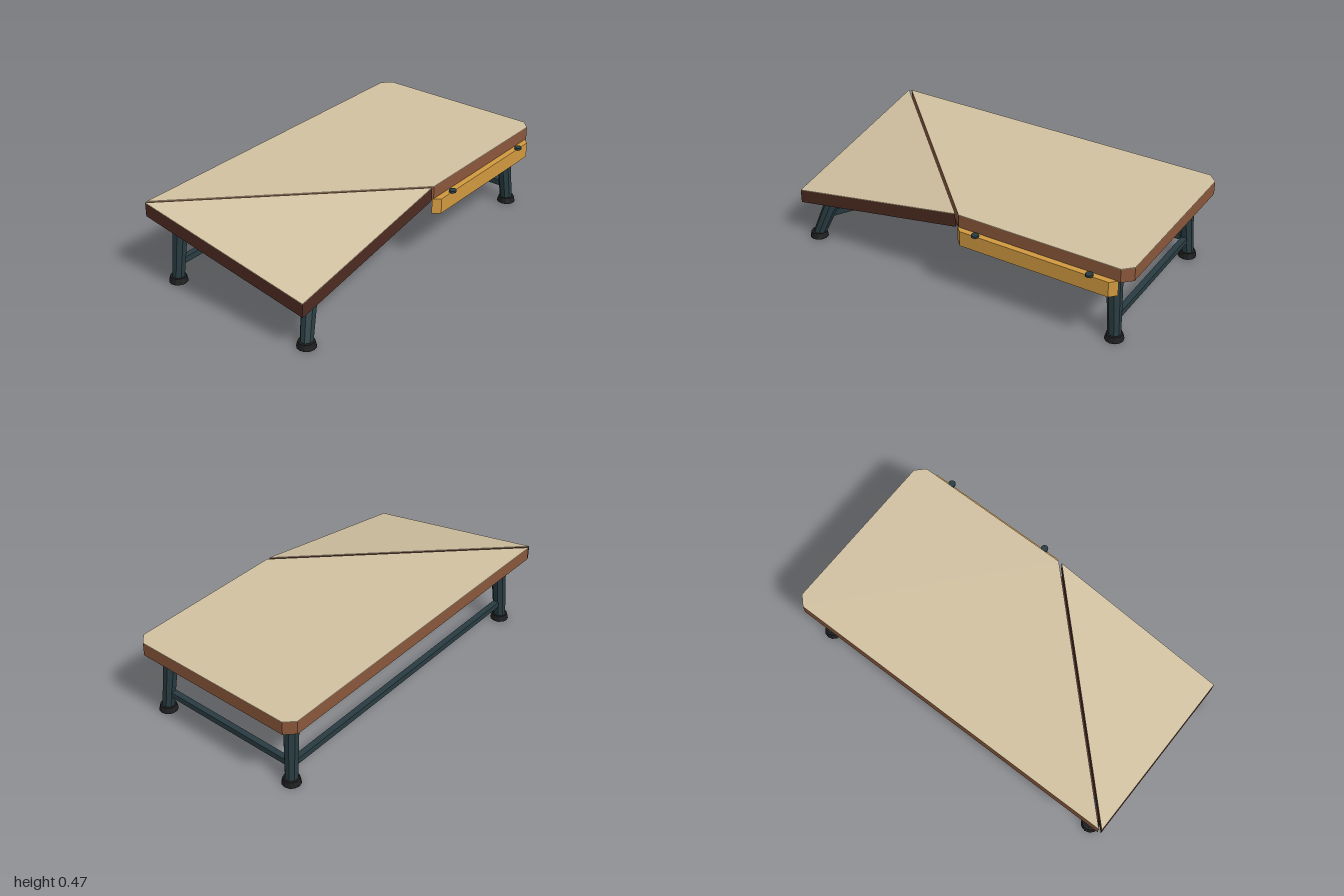
import * as THREE from 'three';

const V = (x, y, z) => new THREE.Vector3(x, y, z);
const mat = (color) => new THREE.MeshStandardMaterial({ color, flatShading: true });

export function createModel() {
  const root = new THREE.Group();
  const cloth = mat(0xd2c2a2), wood = mat(0x8a573b), darkWood = mat(0x4d2c21);
  const steel = mat(0x293c41), rubber = mat(0x1d1d1f), yellow = mat(0xd29a40);

  const add = (name, geometry, material, parent = root) => {
    const mesh = new THREE.Mesh(geometry, material);
    mesh.name = name;
    parent.add(mesh);
    return mesh;
  };

  // Upright prism over an outline of [x, z] points
  const prism = (outline, y0, y1) => {
    const shape = new THREE.Shape(outline.map(([x, z]) => new THREE.Vector2(x, -z)));
    return new THREE.ExtrudeGeometry(shape, { depth: y1 - y0, bevelEnabled: false })
      .rotateX(-Math.PI / 2).translate(0, y0, 0);
  };

  // Rectangular bar from a to b
  const bar = (name, a, b, w, h, material = steel, parent = root) => {
    const m = add(name, new THREE.BoxGeometry(w, h, a.distanceTo(b)), material, parent);
    m.position.copy(a).add(b).multiplyScalar(0.5);
    m.lookAt(b);
    return m;
  };

  // Main top with clipped right corners and a diagonal left edge
  const top = [[-0.985, -0.545], [0.95, -0.545], [1, -0.495], [1, 0.44], [0.95, 0.49], [0.04, 0.49]];
  add('mainTop', prism(top, 0.395, 0.469), wood);
  add('mainTopSurface', prism(top, 0.469, 0.472), cloth);

  // Triangular corner flap, sheared down about the diagonal
  const flap = [[-1, -0.54], [0.02, 0.49], [-1, 0.49]];
  const droop = (g) => {
    const p = g.attributes.position;
    for (let i = 0; i < p.count; i++) {
      const t = (0.02 - p.getX(i)) / 1.02 + (p.getZ(i) + 0.54) / 1.03 - 1;
      p.setY(i, p.getY(i) - 0.18 * t);
    }
    g.computeVertexNormals();
    return g;
  };
  add('cornerFlap', droop(prism(flap, 0.395, 0.469)), darkWood);
  add('cornerFlapSurface', droop(prism(flap, 0.469, 0.472)), cloth);
  bar('hingeStrip', V(-0.95, 0.385, -0.498), V(-0.005, 0.385, 0.455), 0.04, 0.02, darkWood);

  // Tapered splayed legs with rubber feet
  const leg = (name, foot, head) => {
    const g = new THREE.Group();
    g.name = name;
    root.add(g);
    const dir = head.clone().sub(foot);
    const post = add('post', new THREE.CylinderGeometry(0.043, 0.034, dir.length(), 8), steel, g);
    post.geometry.rotateY(Math.PI / 8);
    post.position.copy(foot).add(head).multiplyScalar(0.5);
    post.quaternion.setFromUnitVectors(V(0, 1, 0), dir.normalize());
    add('foot', new THREE.CylinderGeometry(0.043, 0.051, 0.032, 12), rubber, g)
      .position.set(foot.x, 0.016, foot.z);
  };
  leg('frontLeftLeg', V(0.9, 0.015, 0.415), V(0.868, 0.396, 0.385));
  leg('backLeftLeg', V(0.9, 0.015, -0.45), V(0.868, 0.396, -0.43));
  leg('backRightLeg', V(-0.9, 0.015, -0.45), V(-0.868, 0.396, -0.43));
  leg('flapLeg', V(-0.93, 0.015, 0.448), V(-0.835, 0.27, 0.395));

  // Diagonal brace from the flap leg to the main top
  bar('flapBrace', V(-0.88, 0.13, 0.37), V(-0.25, 0.39, 0.06), 0.036, 0.036);

  // Low stretchers and upper rails
  bar('backStretcher', V(-0.89, 0.113, -0.445), V(0.89, 0.113, -0.445), 0.033, 0.033);
  bar('sideStretcher', V(0.89, 0.113, 0.405), V(0.89, 0.113, -0.445), 0.033, 0.033);
  bar('backRail', V(-0.87, 0.375, -0.43), V(0.87, 0.375, -0.43), 0.033, 0.04);
  bar('sideRail', V(0.87, 0.375, 0.385), V(0.87, 0.375, -0.43), 0.033, 0.04);
  bar('frontRail', V(0.05, 0.375, 0.385), V(0.87, 0.375, 0.385), 0.033, 0.04);

  // Slatted shelf on two cross bars
  const shelf = new THREE.Group();
  shelf.name = 'shelf';
  root.add(shelf);
  for (const z of [0.185, 0.043, -0.1, -0.245])
    bar('slat', V(0.128, 0.165, z), V(0.665, 0.165, z), 0.088, 0.031, wood, shelf);
  for (const x of [0.108, 0.682])
    bar('shelfSupport', V(x, 0.146, 0.222), V(x, 0.146, -0.312), 0.025, 0.024, steel, shelf);

  // Front board with chamfered ends, held by two pins
  add('frontBoard', prism([[0.03, 0.487], [0.94, 0.487], [0.905, 0.523], [0.065, 0.523]], 0.315, 0.4), yellow);
  for (const x of [0.16, 0.803]) {
    add('pinHead', new THREE.CylinderGeometry(0.02, 0.02, 0.012, 12), steel).position.set(x, 0.409, 0.526);
    add('pinShaft', new THREE.CylinderGeometry(0.008, 0.008, 0.03, 8), steel).position.set(x, 0.395, 0.514);
  }
  return root;
}
